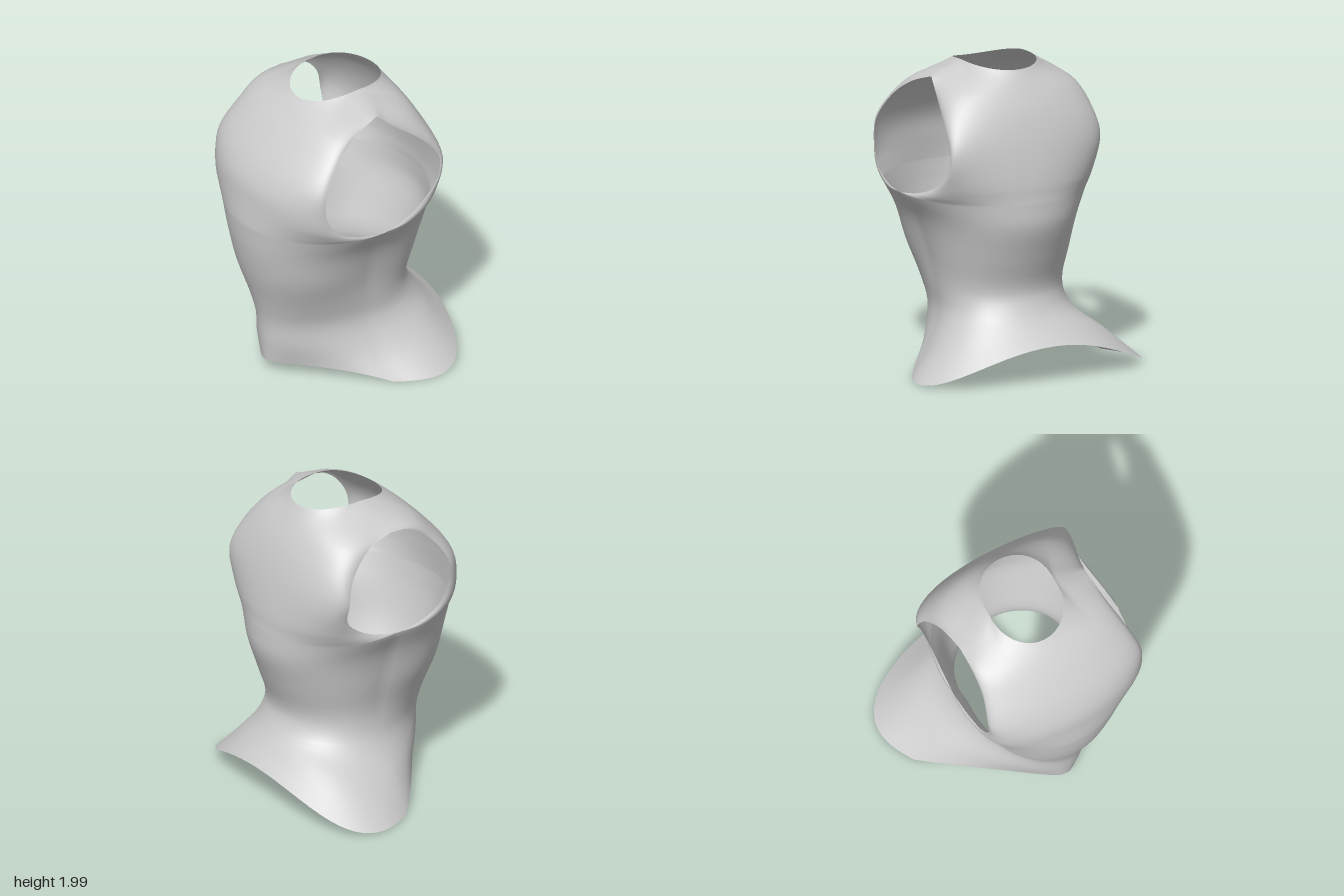
import * as THREE from 'three';
import { mergeVertices, mergeGeometries } from 'three/addons/utils/BufferGeometryUtils.js';

const COLS = 40; // across each panel
const STEPS = 4; // subdivisions between two rows
const MID_X = 0.1; // the garment sits slightly off centre

// How a row's height passes from the side edge (0) to the centre line (1)
const linear = (c) => c;
const early = (c) => 1 - (1 - c) ** 3;
const late = (c) => c ** 2;
const veryLate = (c) => c ** 5;

// Side seams from hem to armpit: [centre x, half width, y, z]
const seams = [
  [0.005, 0.68, 0.01, -0.05],
  [0.025, 0.54, 0.19, -0.03],
  [0.075, 0.415, 0.39, -0.02],
  [0.1, 0.4, 0.56, 0],
  [0.105, 0.435, 0.78, 0.02],
  [0.12, 0.495, 1.0, 0.04],
  [0.14, 0.59, 1.17, 0.05],
];

// Centre line of each panel: [y, z, squareness, height rule, x]
const frontMid = [
  [0.1, 0.52, -0.34, early], [0.24, 0.53, -0.23], [0.4, 0.54, -0.12], [0.55, 0.575, -0.02],
  [0.78, 0.645, 0.09], [1.0, 0.69, 0.08], [1.17, 0.705, 0.05], [1.23, 0.7, 0.04],
  [1.32, 0.69, 0.02], [1.46, 0.67, 0], [1.6, 0.6, 0], [1.76, 0.465, 0], [1.88, 0.335, 0],
];
const backMid = [
  [0.25, -0.71, 0.33, veryLate, 0.02], [0.34, -0.6, 0.22, late, 0.05], [0.44, -0.52, 0.12],
  [0.56, -0.475, 0.1], [0.78, -0.54, 0.1], [1.0, -0.61, 0.08], [1.15, -0.61, 0.06],
  [1.2, -0.605, 0.05], [1.27, -0.6, 0.04], [1.42, -0.575, 0.03], [1.58, -0.535, 0.03],
  [1.74, -0.475, 0.02], [1.88, -0.395, 0],
];

// Armhole edges above the armpit: [centre x, half width, y, z, z difference left/right]
const frontArm = [
  [0.135, 0.58, 1.19, 0.2, 0], [0.13, 0.56, 1.26, 0.375, 0], [0.125, 0.545, 1.4, 0.46, 0],
  [0.118, 0.545, 1.55, 0.455, 0], [0.11, 0.505, 1.73, 0.33, 0], [0.09, 0.48, 1.84, 0.17, 0],
];
const backArm = [
  [0.13, 0.575, 1.195, -0.11, -0.02], [0.115, 0.555, 1.255, -0.265, -0.03],
  [0.095, 0.55, 1.36, -0.385, -0.04], [0.075, 0.56, 1.49, -0.4, -0.05],
  [0.08, 0.535, 1.65, -0.32, -0.02], [0.075, 0.49, 1.8, -0.15, 0],
];

// A point on a cross row, angle a from -90 to 90 degrees
function rowPoint([cx, hw, ye, ze, tilt = 0], [ym, zm, square, rise = linear, mx = MID_X], a) {
  const s = Math.sin(a), c = Math.max(0, Math.cos(a));
  const edgeZ = ze + tilt * s;
  return new THREE.Vector3(
    cx + hw * (s + 2 * square * s * c) + (mx - cx) * c,
    ye + (ym - ye) * rise(c),
    edgeZ + (zm - edgeZ) * c
  );
}

// The top row: shoulder seam, half of the neckline, shoulder seam
function topPoint(a, dir) {
  const neck = (t) => {
    const s = Math.sin(t), c = Math.cos(t);
    return new THREE.Vector3(
      0.09 + 0.235 * (s + 0.12 * s * c),
      1.995 - (dir > 0 ? 0.055 : 0.03) * c * c,
      -0.04 + dir * 0.3 * c
    );
  };
  const k = Math.abs(a) / (Math.PI / 4);
  if (k <= 1) return neck(2 * a);
  const side = Math.sign(a);
  const tip = side > 0 ? new THREE.Vector3(0.54, 1.91, -0.03) : new THREE.Vector3(-0.39, 1.855, 0.03);
  return neck(side * Math.PI / 2).lerp(tip, k - 1);
}

const smooth = (pts) => new THREE.CatmullRomCurve3(pts).getPoints((pts.length - 1) * STEPS);

// Columns of points from hem to shoulder, turning a corner at the armpit
function panelColumns(mids, arm, dir) {
  const edges = [...seams, ...arm];
  const armpit = seams.length - 1;
  const columns = [];
  for (let i = 0; i <= COLS; i++) {
    const a = (i / COLS - 0.5) * Math.PI;
    const pts = edges.map((e, r) => rowPoint(e, mids[r], a));
    pts.push(topPoint(a, dir));
    const lower = smooth(pts.slice(0, armpit + 1));
    const upper = smooth(pts.slice(armpit));
    columns.push([...lower, ...upper.slice(1)]);
  }
  return columns;
}

function panelGeometry(columns, flip) {
  const pos = [], index = [], H = columns[0].length;
  columns.forEach((col) => col.forEach((p) => pos.push(p.x, p.y, p.z)));
  for (let i = 0; i < COLS; i++) {
    for (let j = 0; j < H - 1; j++) {
      const a = i * H + j, b = a + H, c = b + 1, d = a + 1;
      if (flip) index.push(a, c, b, a, d, c);
      else index.push(a, b, c, a, c, d);
    }
  }
  const geo = new THREE.BufferGeometry();
  geo.setAttribute('position', new THREE.Float32BufferAttribute(pos, 3));
  geo.setIndex(index);
  return geo;
}

export function createModel() {
  const group = new THREE.Group();
  group.name = 'sleevelessTop';

  const front = panelColumns(frontMid, frontArm, 1);
  const back = panelColumns(backMid, backArm, -1);

  // Weld front and back at side seams and shoulders; hem, neck and armholes stay open
  const shell = mergeVertices(
    mergeGeometries([panelGeometry(front, false), panelGeometry(back, true)]), 1e-4
  );
  shell.computeVertexNormals();

  const cloth = new THREE.MeshStandardMaterial({ color: 0xcccccc, side: THREE.DoubleSide });
  const body = new THREE.Mesh(shell, cloth);
  body.name = 'vestBody';
  group.add(body);
  return group;
}
